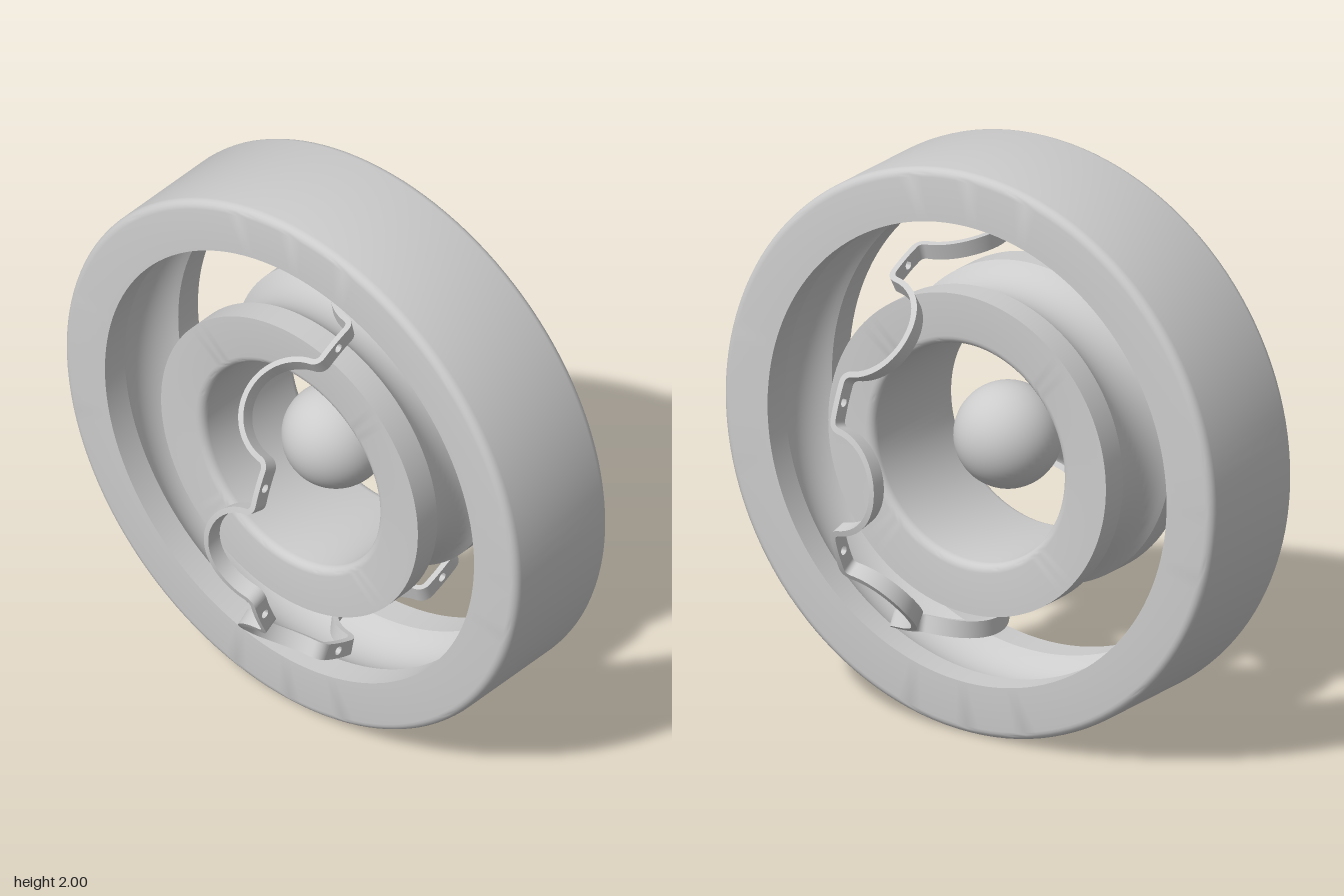
import * as THREE from 'three';
import { toCreasedNormals } from 'three/addons/utils/BufferGeometryUtils.js';

const PITCH = 0.69;      // radius of the circle the balls run on
const HALF_WIDTH = 0.237;
const GROOVE = 0.185;    // raceway radius
const BALLS = 8;

const material = new THREE.MeshStandardMaterial({ color: 0xcccccc });

function mesh(name, geometry) {
  const m = new THREE.Mesh(geometry, material);
  m.name = name;
  return m;
}

// Points on an arc in a 2D plane, ends included
function arc(cx, cy, r, from, to, steps) {
  return Array.from({ length: steps + 1 }, (_, i) => {
    const a = from + (to - from) * i / steps;
    return new THREE.Vector2(cx + r * Math.cos(a), cy + r * Math.sin(a));
  });
}

// Closed profile (radius, along axis) turned around the x axis
function turned(profile) {
  const g = new THREE.LatheGeometry([...profile, profile[0].clone()], 128);
  g.rotateZ(-Math.PI / 2);
  return toCreasedNormals(g, 0.6);
}

function outerRing() {
  const R = 1, bore = 0.815, f = 0.03, w = HALF_WIDTH, H = Math.PI / 2;
  const a = Math.acos((bore - PITCH) / GROOVE);
  return turned([
    ...arc(R - f, -w + f, f, -H, 0, 5),
    ...arc(R - f, w - f, f, 0, H, 5),
    new THREE.Vector2(bore, w),
    ...arc(PITCH, 0, GROOVE, a, -a, 16),
    new THREE.Vector2(bore, -w),
  ]);
}

function innerRing() {
  const R = 0.567, bore = 0.385, f = 0.03, w = HALF_WIDTH, H = Math.PI / 2;
  const a = Math.acos((PITCH - R) / GROOVE);
  return turned([
    new THREE.Vector2(R, -w),
    ...arc(PITCH, 0, GROOVE, Math.PI + a, Math.PI - a, 16),
    new THREE.Vector2(R, w),
    ...arc(bore + f, w - f, f, H, 2 * H, 5),
    ...arc(bore + f, -w + f, f, 2 * H, 3 * H, 5),
  ]);
}

// Cage dimensions
const R_IN = 0.662, R_OUT = 0.72, FLAT_Z = 0.23, THICK = 0.02;
const POCKET = 0.18, BEND = 0.03;
const BEND_S = Math.sqrt((POCKET + BEND) ** 2 - BEND ** 2);
const PAD_HALF = Math.PI / BALLS - BEND_S / PITCH;

// Flat pad with a rivet hole, centred on angle 0
function padGeometry() {
  const shape = new THREE.Shape();
  shape.absarc(0, 0, R_OUT, -PAD_HALF, PAD_HALF, false);
  shape.absarc(0, 0, R_IN, PAD_HALF, -PAD_HALF, true);
  shape.closePath();
  const hole = new THREE.Path();
  hole.absarc((R_IN + R_OUT) / 2, 0, 0.016, 0, Math.PI * 2, true);
  shape.holes.push(hole);
  const g = new THREE.ExtrudeGeometry(shape, { depth: THICK, bevelEnabled: false, curveSegments: 16 });
  g.translate(0, 0, FLAT_Z - THICK / 2);
  return toCreasedNormals(g, 0.6);
}

// Curved pocket strip: rectangular section swept along bend, half circle, bend
function pocketGeometry() {
  const lean = Math.asin(BEND / (POCKET + BEND));
  const path = [
    ...arc(-BEND_S, FLAT_Z - BEND, BEND, Math.PI / 2, lean, 6),
    ...arc(0, FLAT_Z, POCKET, Math.PI + lean, 2 * Math.PI - lean, 32).slice(1),
    ...arc(BEND_S, FLAT_Z - BEND, BEND, Math.PI - lean, Math.PI / 2, 6).slice(1),
  ];
  const h = THICK / 2;
  const corners = [[-h, R_IN], [h, R_IN], [h, R_OUT], [-h, R_OUT]];
  const positions = [], index = [];
  corners.forEach((c, k) => {
    const pair = [c, corners[(k + 1) % 4]];
    const base = positions.length / 3;
    path.forEach((p, i) => {
      const t = path[Math.min(i + 1, path.length - 1)].clone().sub(path[Math.max(i - 1, 0)]).normalize();
      if (i === 0 || i === path.length - 1) t.set(1, 0);
      for (const [n, r] of pair) {
        const angle = (p.x - t.y * n) / PITCH;
        positions.push(r * Math.cos(angle), r * Math.sin(angle), p.y + t.x * n);
      }
      if (i < path.length - 1) {
        const a = base + i * 2;
        index.push(a, a + 1, a + 3, a, a + 3, a + 2);
      }
    });
  });
  const g = new THREE.BufferGeometry();
  g.setAttribute('position', new THREE.Float32BufferAttribute(positions, 3));
  g.setIndex(index);
  g.computeVertexNormals();
  return g;
}

export function createModel() {
  const model = new THREE.Group();
  model.name = 'ballBearingParts';

  model.add(mesh('outerRing', outerRing()));
  model.add(mesh('innerRing', innerRing()));
  model.add(mesh('ball', new THREE.SphereGeometry(0.183, 48, 32)));

  // Half cage, standing across the rings
  const cage = new THREE.Group();
  cage.name = 'cage';
  const pad = padGeometry(), pocket = pocketGeometry();
  for (let i = 0; i < BALLS; i++) {
    const step = Math.PI * 2 / BALLS;
    const pocketMesh = mesh('cagePocket', pocket);
    pocketMesh.rotation.z = i * step;
    const padMesh = mesh('cagePad', pad);
    padMesh.rotation.z = (i + 0.5) * step;
    cage.add(pocketMesh, padMesh);
  }
  model.add(cage);

  model.children.forEach((part) => { part.position.y = 1; });
  return model;
}
